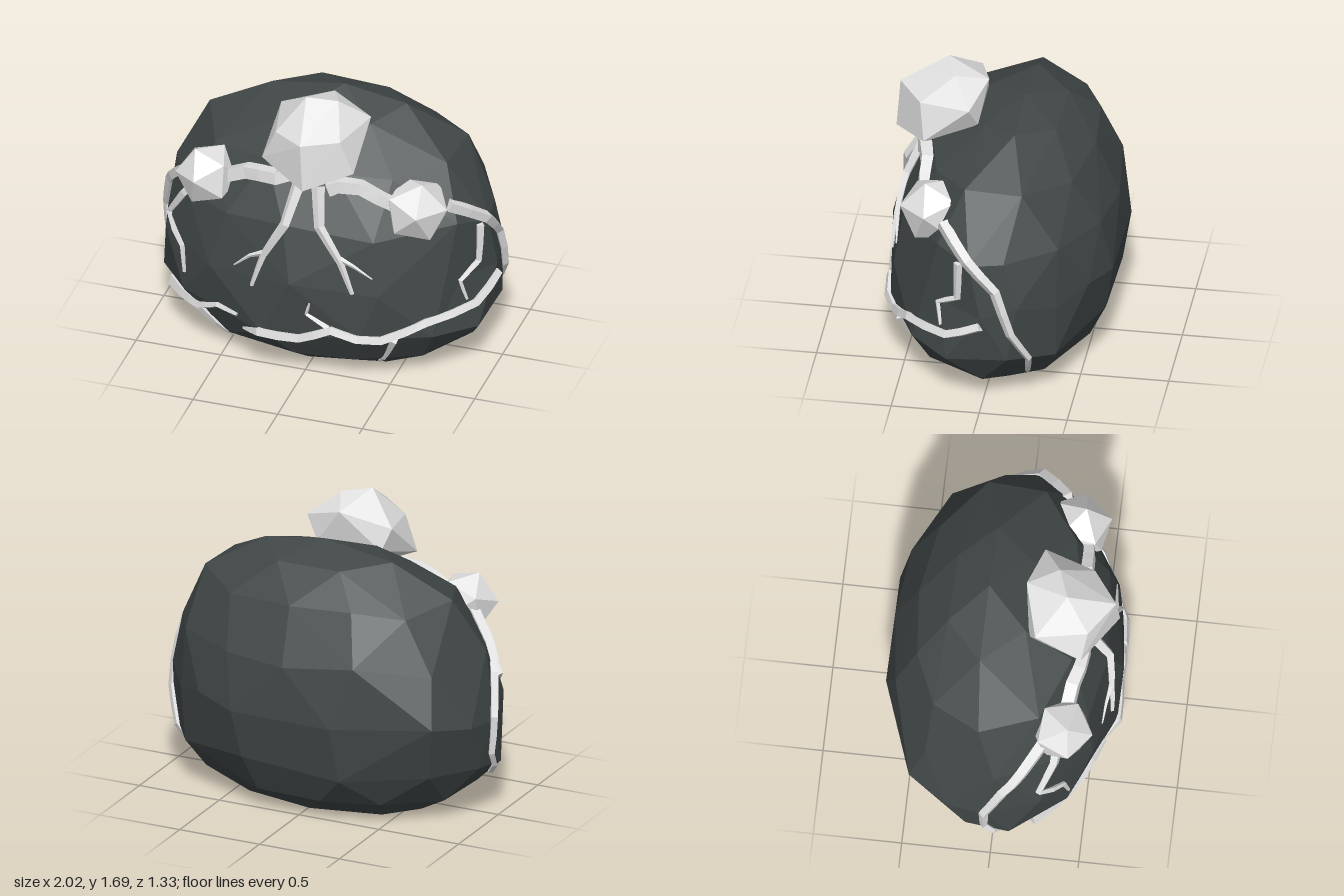
import * as THREE from 'three';
import { ConvexGeometry } from 'three/addons/geometries/ConvexGeometry.js';

const CORE = new THREE.Vector3(0, 0.7, 0);
const V = (p) => new THREE.Vector3(...p);

// Faceted boulder: hull of staggered rings and an irregular waist
function boulderGeometry() {
  // [y, half width, front z, back z, corner count, corner exponent, front/back dip]
  const rings = [
    [1.475, 0.40, 0.13, -0.35, 6, 0.9, 0.05],
    [1.255, 0.76, 0.40, -0.52, 11, 0.9],
    [0.95, 0.92, 0.57, -0.65, 12, 0.93],
    [0.31, 0.98, 0.65, -0.65, 12, 1.03],
    [0.12, 0.83, 0.53, -0.54, 11, 1],
    [0, 0.59, 0.36, -0.38, 10, 0.9],
  ];
  const pts = [[0.03, 1.53, -0.12], [0.94, 0.92, 0.07]].map(V);
  rings.forEach(([y, w, front, back, n, e, dip = 0], j) => {
    const mid = (front + back) / 2, depth = (front - back) / 2;
    for (let i = 0; i < n; i++) {
      const a = ((i + (j % 2) * 0.5) / n) * Math.PI * 2 + 0.12 * Math.sin(i * 5.1 + j * 2.3);
      const c = Math.cos(a), s = Math.sin(a);
      const lift = y > 0.2 ? (j ? 0.03 : 0.012) * Math.sin(i * 3.7 + j * 1.9) : 0;
      pts.push(new THREE.Vector3(
        w * Math.sign(c) * Math.abs(c) ** e, y + lift - dip * Math.abs(s),
        mid + depth * Math.sign(s) * Math.abs(s) ** e));
    }
  });

  // Waist corners, the first of them pushed in as a dent in the left flank
  const waist = [
    [0.92, 0.62, 0.24], [0.97, 0.6, 0], [0.94, 0.66, -0.2], [0.79, 0.6, -0.4], [0.6, 0.66, -0.56],
    [0.35, 0.62, -0.66], [-0.27, 0.62, -0.67], [-0.82, 0.64, -0.48], [-0.96, 0.6, -0.26],
    [-0.985, 0.58, -0.03], [-0.9, 0.64, 0.27], [-0.56, 0.6, 0.53], [-0.05, 0.64, 0.65], [0.45, 0.6, 0.57],
  ].map(V);
  const g = new ConvexGeometry([...pts, ...waist]);
  const pos = g.attributes.position, p = new THREE.Vector3();
  for (let i = 0; i < pos.count; i++) {
    if (p.fromBufferAttribute(pos, i).distanceTo(waist[0]) < 0.08) pos.setX(i, p.x - 0.08);
  }
  g.computeVertexNormals();
  return g;
}

// Tapered diamond-section vein through points already lying on the boulder
function veinGeometry(points, r0, r1) {
  const pos = [], index = [], n = points.length;
  const ring = (i, r) => {
    const p = points[i];
    const t = points[Math.min(i + 1, n - 1)].clone().sub(points[Math.max(i - 1, 0)]).normalize();
    const out = p.clone().sub(CORE);
    out.addScaledVector(t, -out.dot(t)).normalize();
    const side = t.clone().cross(out);
    for (const [a, b] of [[1, 0], [0, 1], [-1, 0], [0, -1]]) {
      pos.push(...p.clone().addScaledVector(out, a * r + r0 * 0.25).addScaledVector(side, b * r).toArray());
    }
  };
  ring(0, 0.001);
  for (let i = 0; i < n; i++) ring(i, r0 + (r1 - r0) * i / (n - 1));
  ring(n - 1, 0.001);
  for (let i = 0; i <= n; i++) {
    for (let k = 0; k < 4; k++) {
      const a = i * 4 + k, b = i * 4 + (k + 1) % 4;
      index.push(a, b, a + 4, b, b + 4, a + 4);
    }
  }
  const g = new THREE.BufferGeometry();
  g.setAttribute('position', new THREE.Float32BufferAttribute(pos, 3));
  g.setIndex(index);
  const flat = g.toNonIndexed();
  flat.computeVertexNormals();
  return flat;
}

export function createModel() {
  const model = new THREE.Group();
  const darkStone = new THREE.MeshStandardMaterial({ color: 0x414747, flatShading: true });
  darkStone.name = 'darkStone';
  const paleStone = new THREE.MeshStandardMaterial({ color: 0xe2e2e2, flatShading: true });
  paleStone.name = 'paleStone';
  const add = (name, geometry, material) => {
    const mesh = new THREE.Mesh(geometry, material);
    mesh.name = name;
    model.add(mesh);
    return mesh;
  };

  const boulder = add('boulder', boulderGeometry(), darkStone);
  boulder.updateMatrixWorld(true);

  // Large crystal on the upper front
  add('largeCrystal', new ConvexGeometry([
    [-0.05, 1.69, 0.33], [0.12, 1.66, 0.27], [0.04, 1.61, 0.09], [0.28, 1.53, 0.17],
    [-0.25, 1.53, 0.17], [0, 1.53, 0.60], [0.19, 1.51, 0.46], [-0.19, 1.51, 0.46],
    [0.26, 1.30, 0.43], [-0.28, 1.31, 0.43], [0.02, 1.25, 0.62], [0.03, 1.18, 0.40],
    [0.2, 1.40, 0.13], [-0.2, 1.40, 0.13],
  ].map(V)), paleStone);

  // Small crystals on the shoulders
  for (const [name, x, y, z, radius, turn] of [
    ['leftCrystal', 0.6, 1.075, 0.32, 0.195, 0.5], ['rightCrystal', -0.62, 1.095, 0.36, 0.185, -0.3]]) {
    const crystal = add(name, new THREE.IcosahedronGeometry(radius, 0), paleStone);
    crystal.position.set(x, y, z);
    crystal.rotation.set(0.35, turn, turn * 0.6);
  }

  // Veins: rough paths, snapped to the boulder surface
  const ray = new THREE.Raycaster();
  const snap = (p) => {
    const dir = p.clone().sub(CORE).normalize();
    ray.set(CORE.clone().addScaledVector(dir, 4), dir.clone().negate());
    const hit = ray.intersectObject(boulder)[0];
    return hit ? hit.point : p;
  };
  const vein = (name, r0, r1, path) => {
    const pts = [];
    path.map(V).forEach((p, i, all) => {
      if (i > 0) pts.push(snap(all[i - 1].clone().lerp(p, 0.5)));
      pts.push(snap(p));
    });
    add(name, veinGeometry(pts, r0, r1), paleStone);
  };

  // Collar between the crystals
  vein('rightCollarVein', 0.055, 0.05, [[-0.13, 1.27, 0.45], [-0.2, 1.23, 0.46], [-0.4, 1.21, 0.42], [-0.58, 1.1, 0.38]]);
  vein('leftCollarVein', 0.055, 0.045, [[0.12, 1.21, 0.46], [0.18, 1.24, 0.45], [0.32, 1.24, 0.43], [0.42, 1.18, 0.42], [0.58, 1.09, 0.38]]);

  // Forked veins under the large crystal
  vein('rightCenterVein', 0.038, 0.012, [[-0.06, 1.22, 0.47], [-0.1, 0.98, 0.57], [-0.22, 0.77, 0.6], [-0.29, 0.56, 0.62]]);
  vein('rightCenterBranch', 0.018, 0.004, [[-0.21, 0.79, 0.6], [-0.32, 0.74, 0.6], [-0.42, 0.65, 0.59]]);
  vein('leftCenterVein', 0.038, 0.012, [[0.06, 1.22, 0.47], [0.1, 1.0, 0.57], [0.24, 0.8, 0.6], [0.32, 0.61, 0.62]]);
  vein('leftCenterBranch', 0.018, 0.004, [[0.24, 0.82, 0.6], [0.32, 0.78, 0.59], [0.43, 0.71, 0.58]]);

  // Side veins
  vein('leftSideVein', 0.04, 0.016, [[0.76, 1.08, 0.24], [0.92, 0.94, 0.08], [0.95, 0.77, -0.08], [0.96, 0.5, -0.17], [0.91, 0.3, -0.27], [0.8, 0.14, -0.25]]);
  vein('leftSideBranch', 0.028, 0.01, [[0.9, 0.92, 0.13], [0.9, 0.69, 0.14], [0.83, 0.61, 0.26], [0.87, 0.48, 0.24]]);
  vein('rightSideVein', 0.042, 0.018, [[-0.72, 1.1, 0.28], [-0.86, 0.95, 0.16], [-0.92, 0.82, 0.06], [-0.98, 0.6, -0.04], [-0.98, 0.38, -0.04], [-0.9, 0.24, 0.06]]);
  vein('rightSideBranch', 0.034, 0.01, [[-0.72, 1.02, 0.36], [-0.78, 0.93, 0.34], [-0.87, 0.74, 0.26], [-0.79, 0.6, 0.4], [-0.77, 0.44, 0.43]]);

  // Belt of veins around the lower front
  vein('rightBeltVein', 0.042, 0.01, [[-0.9, 0.25, 0.22], [-0.84, 0.22, 0.34], [-0.7, 0.23, 0.46], [-0.55, 0.32, 0.56], [-0.4, 0.32, 0.61]]);
  vein('rightBeltBranch', 0.03, 0.008, [[-0.7, 0.22, 0.46], [-0.6, 0.11, 0.44], [-0.48, 0.03, 0.37]]);
  vein('leftBeltTip', 0.03, 0.008, [[-0.23, 0.29, 0.63], [-0.37, 0.22, 0.6]]);
  vein('leftBeltVein', 0.032, 0.03, [[-0.24, 0.29, 0.63], [0, 0.26, 0.65], [0.2, 0.36, 0.64], [0.48, 0.3, 0.58], [0.72, 0.4, 0.46], [0.92, 0.44, 0.2], [0.97, 0.55, 0]]);
  vein('upperBeltBranch', 0.02, 0.005, [[0.18, 0.37, 0.64], [0.05, 0.45, 0.65], [0.07, 0.53, 0.65]]);
  vein('lowerBeltBranch', 0.028, 0.008, [[0.56, 0.29, 0.55], [0.5, 0.16, 0.49], [0.42, 0.06, 0.42]]);

  return model;
}
